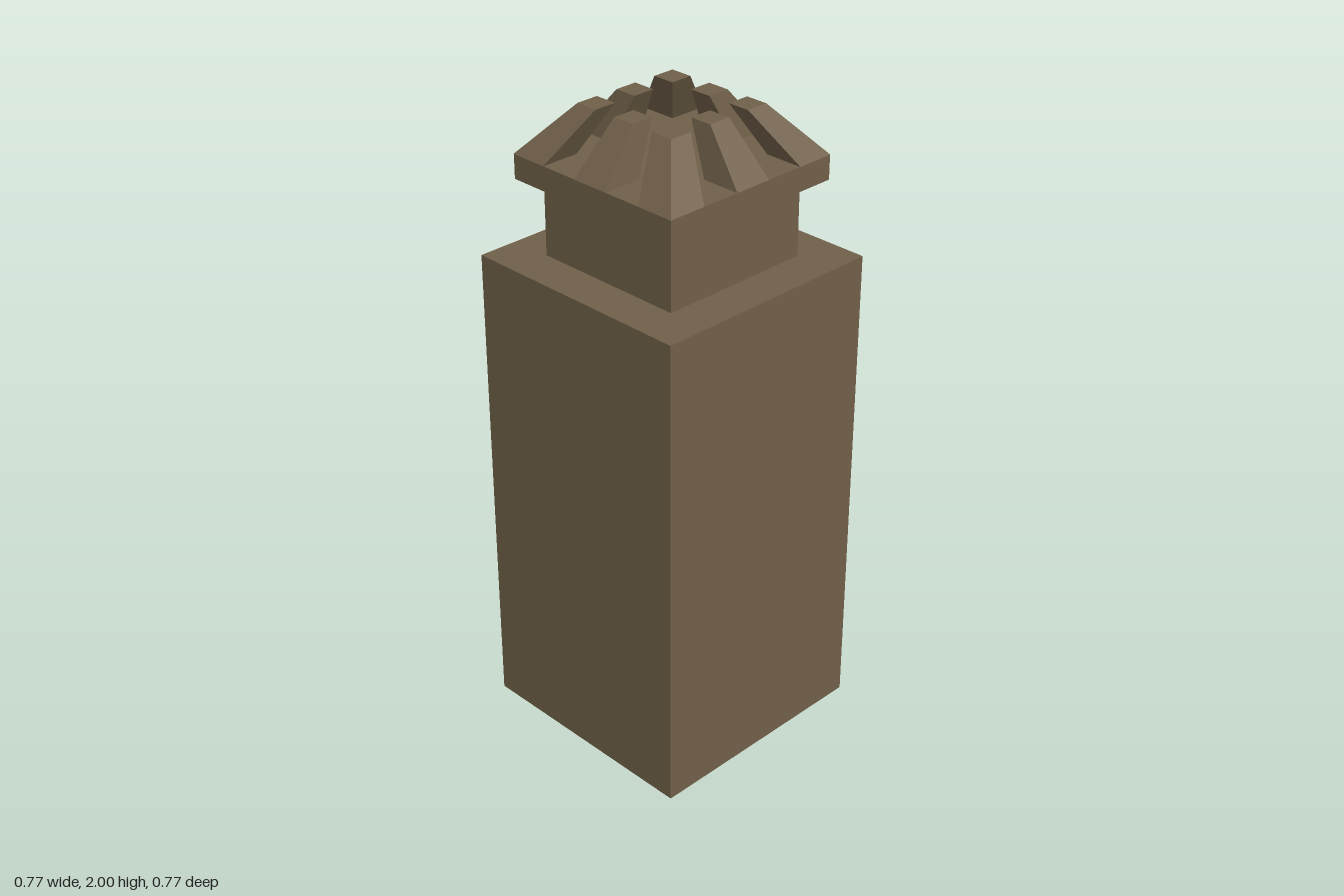
import * as THREE from 'three';

const material = new THREE.MeshStandardMaterial({ color: 0x706049 });

// Square block standing between two heights
function block(name, width, y0, y1) {
  const mesh = new THREE.Mesh(new THREE.BoxGeometry(width, y1 - y0, width), material);
  mesh.position.y = (y0 + y1) / 2;
  mesh.name = name;
  return mesh;
}

// Tapered prong leaning towards the centre; ix and iz are -1, 0 or 1
function prong(ix, iz) {
  const y0 = 1.85, y1 = 2;
  const geometry = new THREE.BoxGeometry(1, 1, 1);
  const p = geometry.attributes.position;
  for (let i = 0; i < p.count; i++) {
    const top = p.getY(i) > 0;
    const width = top ? 0.072 : 0.123;
    const offset = top ? 0.146 : 0.248;
    p.setXYZ(i, p.getX(i) * width + ix * offset, top ? y1 : y0, p.getZ(i) * width + iz * offset);
  }
  const flat = geometry.toNonIndexed();
  flat.computeVertexNormals();
  const mesh = new THREE.Mesh(flat, material);
  mesh.name = 'prong';
  return mesh;
}

export function createModel() {
  const model = new THREE.Group();
  model.name = 'chimney';

  // Stacked square blocks
  model.add(block('shaft', 0.766, 0, 1.54));
  model.add(block('neck', 0.504, 1.54, 1.775));
  model.add(block('capPlate', 0.618, 1.775, 1.85));

  // Ring of eight prongs on the cap plate
  const crown = new THREE.Group();
  crown.name = 'crown';
  for (let ix = -1; ix <= 1; ix++) {
    for (let iz = -1; iz <= 1; iz++) {
      if (ix || iz) crown.add(prong(ix, iz));
    }
  }
  model.add(crown);
  return model;
}
